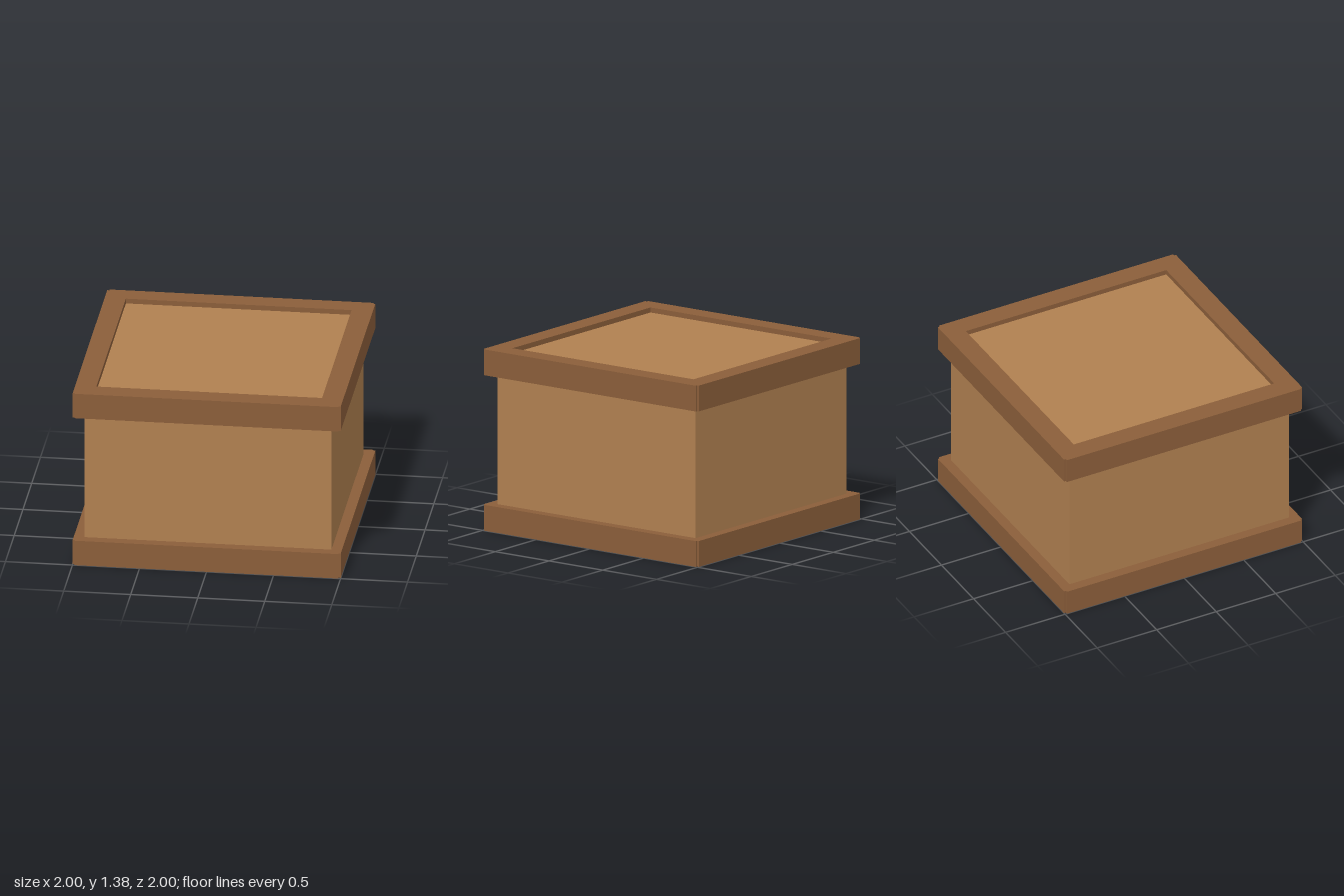
import * as THREE from 'three';

export function createModel() {
  const model = new THREE.Group();
  const darkWood = new THREE.MeshStandardMaterial({ name: 'darkWood', color: 0x8b5e3a });
  const lightWood = new THREE.MeshStandardMaterial({ name: 'lightWood', color: 0xb08050 });

  // Crate body, set slightly inside both frames
  const body = new THREE.Mesh(new THREE.BoxGeometry(1.844, 1.3, 1.844), lightWood);
  body.name = 'crateBody';
  body.position.y = 0.688;
  model.add(body);

  // Square frame outline with a small notch at each corner and an open middle
  const outer = 1, notch = 0.984, inner = 0.842, height = 0.196;
  const outline = [];
  for (let i = 0; i < 4; i++) {
    const c = [1, 0, -1, 0][i], s = [0, 1, 0, -1][i];
    for (const [x, y] of [[outer, -notch], [outer, notch], [notch, notch]]) {
      outline.push(new THREE.Vector2(x * c - y * s, x * s + y * c));
    }
  }
  const shape = new THREE.Shape(outline);
  shape.holes.push(new THREE.Path([
    new THREE.Vector2(-inner, -inner), new THREE.Vector2(-inner, inner),
    new THREE.Vector2(inner, inner), new THREE.Vector2(inner, -inner),
  ]));
  const frameGeometry = new THREE.ExtrudeGeometry(shape, { depth: height, bevelEnabled: false });
  frameGeometry.rotateX(-Math.PI / 2);

  // Base and top frames
  for (const [name, y] of [['baseFrame', 0], ['topFrame', 1.376 - height]]) {
    const frame = new THREE.Mesh(frameGeometry, darkWood);
    frame.name = name;
    frame.position.y = y;
    model.add(frame);
  }
  return model;
}
